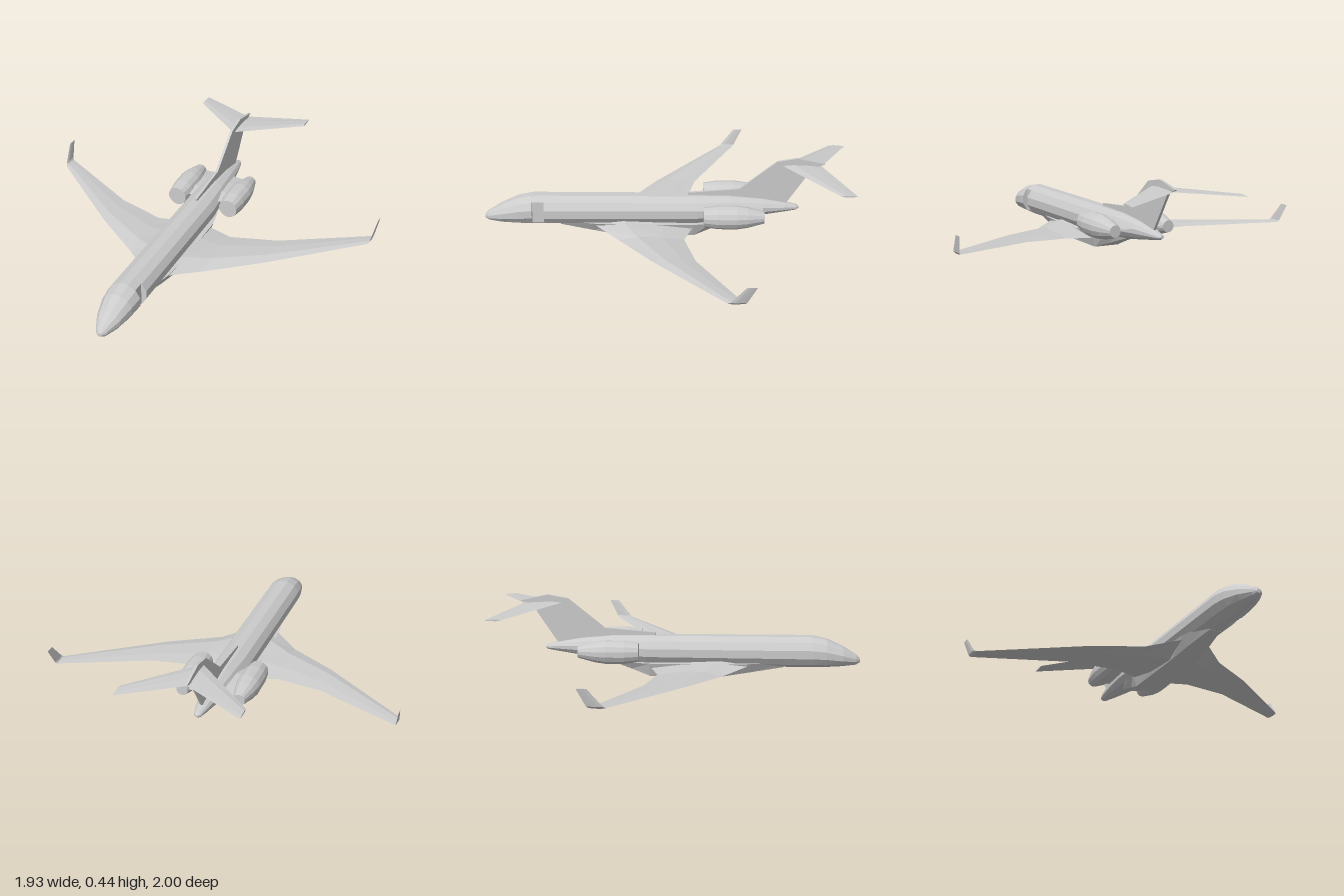
import * as THREE from 'three';

const material = new THREE.MeshStandardMaterial({ color: 0xcccccc, flatShading: true });

// Closed skin through a row of equal-sized rings of [x, y, z], capped at both ends.
function loft(name, rings) {
  const n = rings[0].length, tris = [];
  const mid = (r) => [0, 1, 2].map((k) => r.reduce((s, p) => s + p[k], 0) / n);
  for (let i = 0; i < rings.length - 1; i++) {
    for (let j = 0; j < n; j++) {
      const k = (j + 1) % n, [a, b] = [rings[i], rings[i + 1]];
      tris.push([a[j], a[k], b[k]], [a[j], b[k], b[j]]);
    }
  }
  const first = rings[0], last = rings[rings.length - 1];
  for (let j = 0; j < n; j++) {
    const k = (j + 1) % n;
    tris.push([mid(first), first[k], first[j]], [mid(last), last[j], last[k]]);
  }
  // Turn the faces outward whichever way the rings run, and drop empty faces.
  const v = tris.map((t) => t.map((p) => new THREE.Vector3(...p)));
  const volume = v.reduce((s, [a, b, c]) => s + a.dot(b.clone().cross(c)), 0);
  const points = [];
  for (const [a, b, c] of v) {
    if (b.clone().sub(a).cross(c.clone().sub(a)).length() < 1e-9) continue;
    points.push(...(volume > 0 ? [a, b, c] : [a, c, b]));
  }
  const geometry = new THREE.BufferGeometry().setFromPoints(points);
  geometry.computeVertexNormals();
  const mesh = new THREE.Mesh(geometry, material);
  mesh.name = name;
  return mesh;
}

// Twelve-sided fuselage section; a door section is pressed in on the left side.
function hullRing([z, bottom, top, halfWidth, door]) {
  const grow = 1 / Math.cos(Math.PI / 12);
  return Array.from({ length: 12 }, (_, i) => {
    const a = ((i + 0.5) * Math.PI) / 6;
    const x = Math.cos(a) * halfWidth * grow;
    const y = (top + bottom) / 2 + (Math.sin(a) * (top - bottom) * grow) / 2;
    return [door ? Math.min(x, 0.063) : x, y, z];
  });
}

// Six-point airfoil; lean turns the thickness from vertical (0) to sideways (1).
function airfoil([x, zLead, zTrail, yLead, yTrail, up, down, lean = 0]) {
  const shape = [[0, 0], [0.28, up], [0.68, up * 0.7], [1, 0], [0.68, -down * 0.7], [0.28, -down]];
  return shape.map(([t, h]) => [
    x - h * lean,
    yLead + (yTrail - yLead) * t + h * (1 - lean),
    zLead + (zTrail - zLead) * t,
  ]);
}

// Whole span from the left half's sections, listed from root to tip.
function span(name, sections) {
  const half = sections.map(airfoil);
  const other = half.map((r) => r.map(([x, y, z]) => [-x, y, z])).reverse();
  return loft(name, [...other, ...half]);
}

function createEngine(side) {
  const group = new THREE.Group();
  group.name = side > 0 ? 'leftEngine' : 'rightEngine';
  const profile = [[0, 0.165], [0.053, 0.165], [0.064, 0.09], [0.065, -0.01], [0.056, -0.07], [0.032, -0.16], [0, -0.16]];
  const nacelle = new THREE.Mesh(
    new THREE.LatheGeometry(profile.map(([r, y]) => new THREE.Vector2(r, y)).reverse(), 14), material);
  nacelle.name = 'nacelle';
  nacelle.rotation.x = Math.PI / 2;
  nacelle.position.set(side * 0.156, 0.165, -0.37);
  const pylon = loft('pylon', [[0.03, -0.24, -0.53], [0.15, -0.24, -0.52]].map(
    ([x, front, back]) => airfoil([side * x, front, back, 0.175, 0.17, 0.016, 0.016])));
  group.add(nacelle, pylon);
  return group;
}

export function createModel() {
  const model = new THREE.Group();
  model.name = 'businessJet';

  // Fuselage: z, bottom, top, half width, door recess
  model.add(loft('fuselage', [
    [0.997, 0.08, 0.1, 0.01],
    [0.975, 0.067, 0.122, 0.031],
    [0.9, 0.06, 0.167, 0.064],
    [0.81, 0.056, 0.208, 0.084],
    [0.735, 0.055, 0.223, 0.091],
    [0.73, 0.055, 0.224, 0.091],
    [0.73, 0.055, 0.224, 0.091, true],
    [0.665, 0.055, 0.224, 0.092, true],
    [0.665, 0.055, 0.224, 0.092],
    [-0.17, 0.062, 0.224, 0.091],
    [-0.35, 0.088, 0.222, 0.077],
    [-0.53, 0.112, 0.205, 0.054],
    [-0.65, 0.13, 0.183, 0.034],
    [-0.71, 0.14, 0.168, 0.02],
    [-0.725, 0.148, 0.16, 0.008],
  ].map(hullRing)));

  // Belly fairing: z, bottom, bottom half width, top half width
  model.add(loft('bellyFairing', [
    [0.58, 0.055, 0.03, 0.045],
    [0.4, 0.031, 0.055, 0.085],
    [0.25, 0.01, 0.07, 0.098],
    [-0.15, 0.01, 0.07, 0.095],
    [-0.25, 0.045, 0.05, 0.075],
    [-0.4, 0.094, 0.025, 0.035],
  ].map(([z, y, w, wTop]) => {
    const top = Math.max(0.085, y + 0.025);
    return [[-w, y, z], [w, y, z], [wTop, top, z], [-wTop, top, z]];
  })));

  // Wing with upturned tips: x, z lead, z trail, y lead, y trail, up, down
  model.add(span('wing', [
    [0.06, 0.4, -0.155, 0.07, 0.06, 0.035, 0.055],
    [0.09, 0.37, -0.14, 0.068, 0.058, 0.03, 0.046],
    [0.22, 0.25, -0.1, 0.055, 0.06, 0.022, 0.016],
    [0.48, 0.07, -0.16, 0.073, 0.075, 0.013, 0.009],
    [0.942, -0.31, -0.395, 0.098, 0.098, 0.005, 0.004],
    [0.95, -0.325, -0.405, 0.108, 0.108, 0.004, 0.004, 0.9],
    [0.965, -0.4, -0.452, 0.2, 0.2, 0.002, 0.002, 1],
  ]));

  // Engines on short pylons
  model.add(createEngine(1), createEngine(-1));

  // Fin with its dorsal fillet, drawn as z, y and given a thin depth
  const outline = [[-0.12, 0.21], [-0.12, 0.238], [-0.4, 0.262], [-0.6, 0.425], [-0.71, 0.445],
    [-0.86, 0.412], [-0.79, 0.385], [-0.655, 0.178], [-0.55, 0.17]];
  const finGeometry = new THREE.ExtrudeGeometry(
    new THREE.Shape(outline.map(([z, y]) => new THREE.Vector2(-z, y))), { depth: 0.014, bevelEnabled: false });
  finGeometry.translate(0, 0, -0.007);
  finGeometry.rotateY(Math.PI / 2);
  const fin = new THREE.Mesh(finGeometry, material);
  fin.name = 'fin';
  model.add(fin);

  // Tailplane on top of the fin, drooping to its tips
  model.add(span('tailplane', [
    [0.0, -0.625, -0.84, 0.402, 0.398, 0.007, 0.007],
    [0.325, -0.91, -1, 0.376, 0.374, 0.005, 0.005],
  ]));

  return model;
}
